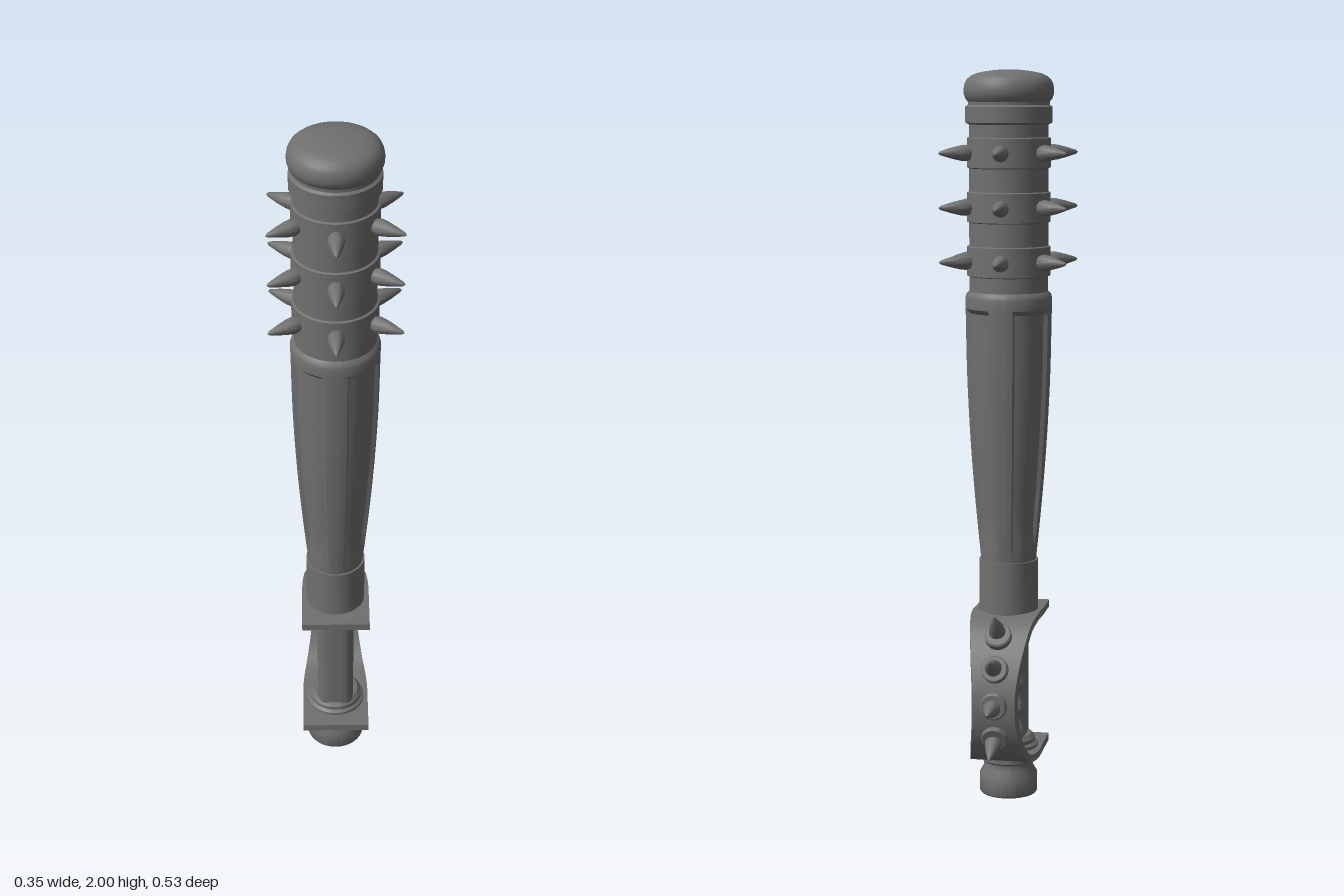
import * as THREE from 'three';
import { toCreasedNormals } from 'three/addons/utils/BufferGeometryUtils.js';

const AXIS_Z = 0.063; // the club's axis sits forward of the centre, the guard behind it
const material = new THREE.MeshStandardMaterial({ color: 0x707070 });

function part(name, geometry, crease = 0.55) {
  const mesh = new THREE.Mesh(toCreasedNormals(geometry, crease), material);
  mesh.name = name;
  return mesh;
}

function lathe(points, segments = 48) {
  return new THREE.LatheGeometry(points.map(([r, y]) => new THREE.Vector2(r, y)), segments);
}

// Moves every vertex of a geometry by a rule
function reshape(geometry, rule) {
  const p = geometry.attributes.position;
  const v = new THREE.Vector3();
  for (let i = 0; i < p.count; i++) {
    v.fromBufferAttribute(p, i);
    rule(v);
    p.setXYZ(i, v.x, v.y, v.z);
  }
  return geometry;
}

// Tapered shaft with four long recessed panels
function shaftGeometry() {
  const radius = new THREE.SplineCurve([[0.075, 0.66], [0.087, 0.78], [0.099, 0.92], [0.108, 1.06], [0.114, 1.2], [0.117, 1.362]]
    .map(([r, y]) => new THREE.Vector2(r, y)));
  const points = radius.getPoints(24).map((p) => [p.x, p.y]);
  points.splice(points.length - 1, 0, [0.117, 1.35]);
  points.push([0.118, 1.39], [0.115, 1.4], [0.107, 1.408]);
  return reshape(lathe(points, 96), (v) => {
    const angle = THREE.MathUtils.radToDeg(Math.atan2(v.z, v.x)) + 360;
    const fromPanel = Math.abs((angle % 90) - 45);
    if (fromPanel < 29 && v.y < 1.355) {
      const r = Math.hypot(v.x, v.z);
      const k = 1 - 0.01 * THREE.MathUtils.smoothstep(v.y, 0.66, 0.78) / r;
      v.x *= k;
      v.z *= k;
    }
  });
}

// Rounded-square grip with finger hollows along its back
function gripGeometry() {
  const points = [];
  for (let i = 0; i <= 60; i++) points.push([0.064, 0.14 + (0.36 * i) / 60]);
  return reshape(lathe(points), (v) => {
    const square = 0.064 / Math.pow(v.x ** 4 + v.z ** 4, 0.25);
    v.x *= square * 0.8;
    v.z *= square;
    if (v.z < 0 && v.y > 0.18 && v.y < 0.46) {
      const hollow = Math.abs(Math.sin(((v.y - 0.18) / 0.28) * Math.PI * 4));
      v.z *= 1 - 0.27 * hollow;
    }
  });
}

// Knuckle guard: a side outline given thickness, narrowed toward the rear
function guardGeometry() {
  const bow = new THREE.CatmullRomCurve3([
    [0.187, 0.515], [0.1, 0.515], [0, 0.515], [-0.06, 0.497], [-0.123, 0.42], [-0.157, 0.32],
    [-0.14, 0.22], [-0.08, 0.143], [0, 0.125], [0.1, 0.125], [0.187, 0.125],
  ].map(([z, y]) => new THREE.Vector3(z, y, 0)));
  const outer = [], inner = [];
  for (let i = 0; i <= 60; i++) {
    const p = bow.getPointAt(i / 60);
    const t = bow.getTangentAt(i / 60);
    const n = new THREE.Vector2(t.y, -t.x).multiplyScalar(0.01);
    outer.push(new THREE.Vector2(p.x - n.x, p.y - n.y));
    inner.push(new THREE.Vector2(p.x + n.x, p.y + n.y));
  }
  const shape = new THREE.Shape([...outer, ...inner.reverse()]);
  const geometry = new THREE.ExtrudeGeometry(shape, { depth: 2, bevelEnabled: false });
  geometry.translate(0, 0, -1).rotateY(-Math.PI / 2);
  return reshape(geometry, (v) => {
    const t = THREE.MathUtils.clamp((0.04 - v.z) / 0.208, 0, 1);
    v.x *= 0.094 - 0.037 * Math.pow(t, 1.9);
  });
}

// Bulged pointed stud along +y
function spikeGeometry(length, r) {
  return lathe([[r * 0.75, 0], [r, length * 0.2], [r * 0.93, length * 0.35], [r * 0.65, length * 0.62],
    [r * 0.25, length * 0.93], [0, length]], 20);
}

function aim(object, direction) {
  object.quaternion.setFromUnitVectors(new THREE.Vector3(0, 1, 0), direction.clone().normalize());
}

export function createModel() {
  const model = new THREE.Group();
  model.name = 'spikedClub';
  const club = new THREE.Group();
  club.name = 'club';
  club.position.z = AXIS_Z;
  model.add(club);

  // Handle end and collars
  club.add(part('pommel', lathe([[0, 0], [0.077, 0], [0.08, 0.005], [0.08, 0.056], [0.069, 0.075], [0.069, 0.09],
    [0.076, 0.096], [0.076, 0.118], [0, 0.118]])));
  club.add(part('lowerCollar', lathe([[0, 0.13], [0.082, 0.13], [0.082, 0.142], [0.074, 0.148], [0.074, 0.158],
    [0.064, 0.17], [0, 0.17]])));
  club.add(part('grip', gripGeometry(), 0.8));
  club.add(part('upperCollar', lathe([[0, 0.475], [0.066, 0.475], [0.074, 0.484], [0.074, 0.493], [0.082, 0.498],
    [0.082, 0.512], [0, 0.512]])));
  club.add(part('sleeve', lathe([[0, 0.52], [0.081, 0.52], [0.081, 0.668], [0, 0.668]])));
  club.add(part('shaft', shaftGeometry()));

  // Head core with collar, and a smooth rounded cap
  club.add(part('head', lathe([[0.107, 1.39], [0.107, 1.855], [0.117, 1.86], [0.117, 1.902], [0.11, 1.907],
    [0.11, 1.918]])));
  club.add(part('cap', lathe([[0.109, 1.914], [0.117, 1.924], [0.121, 1.936], [0.1215, 1.948], [0.119, 1.962],
    [0.113, 1.974], [0.103, 1.983], [0.088, 1.99], [0.065, 1.995], [0.035, 1.999], [0, 2]]), 1.2));

  // Three studded bands
  [1.49, 1.635, 1.78].forEach((y) => {
    const band = new THREE.Group();
    band.name = 'studdedBand';
    band.position.y = y;
    band.add(part('band', lathe([[0.106, -0.042], [0.113, -0.039], [0.113, 0.039], [0.106, 0.042]])));
    for (let i = 0; i < 6; i++) {
      const a = (i * Math.PI) / 3;
      const out = new THREE.Vector3(Math.sin(a), 0, Math.cos(a));
      const spike = part('headSpike', spikeGeometry(0.096, 0.022));
      spike.position.copy(out).multiplyScalar(0.104);
      aim(spike, out);
      band.add(spike);
    }
    club.add(band);
  });

  // Guard with four spikes on discs: [z, y, outward z, outward y]
  model.add(part('knuckleGuard', guardGeometry()));
  [[-0.088, 0.475, -0.69, 0.72], [-0.138, 0.4, -0.9, 0.42], [-0.157, 0.308, -1, 0], [-0.137, 0.218, -0.92, -0.38]]
    .forEach(([z, y, dz, dy]) => {
      const stud = new THREE.Group();
      stud.name = 'guardStud';
      stud.position.set(0, y, z);
      aim(stud, new THREE.Vector3(0, dy, dz));
      stud.add(part('disc', lathe([[0, -0.024], [0.033, -0.024], [0.037, -0.02], [0.037, 0.018], [0.033, 0.022], [0, 0.022]], 28)));
      stud.add(part('guardSpike', lathe([[0.013, 0.018], [0.013, 0.028], [0.023, 0.035], [0.021, 0.05], [0.014, 0.075],
        [0.005, 0.102], [0, 0.107]], 20)));
      model.add(stud);
    });

  return model;
}
